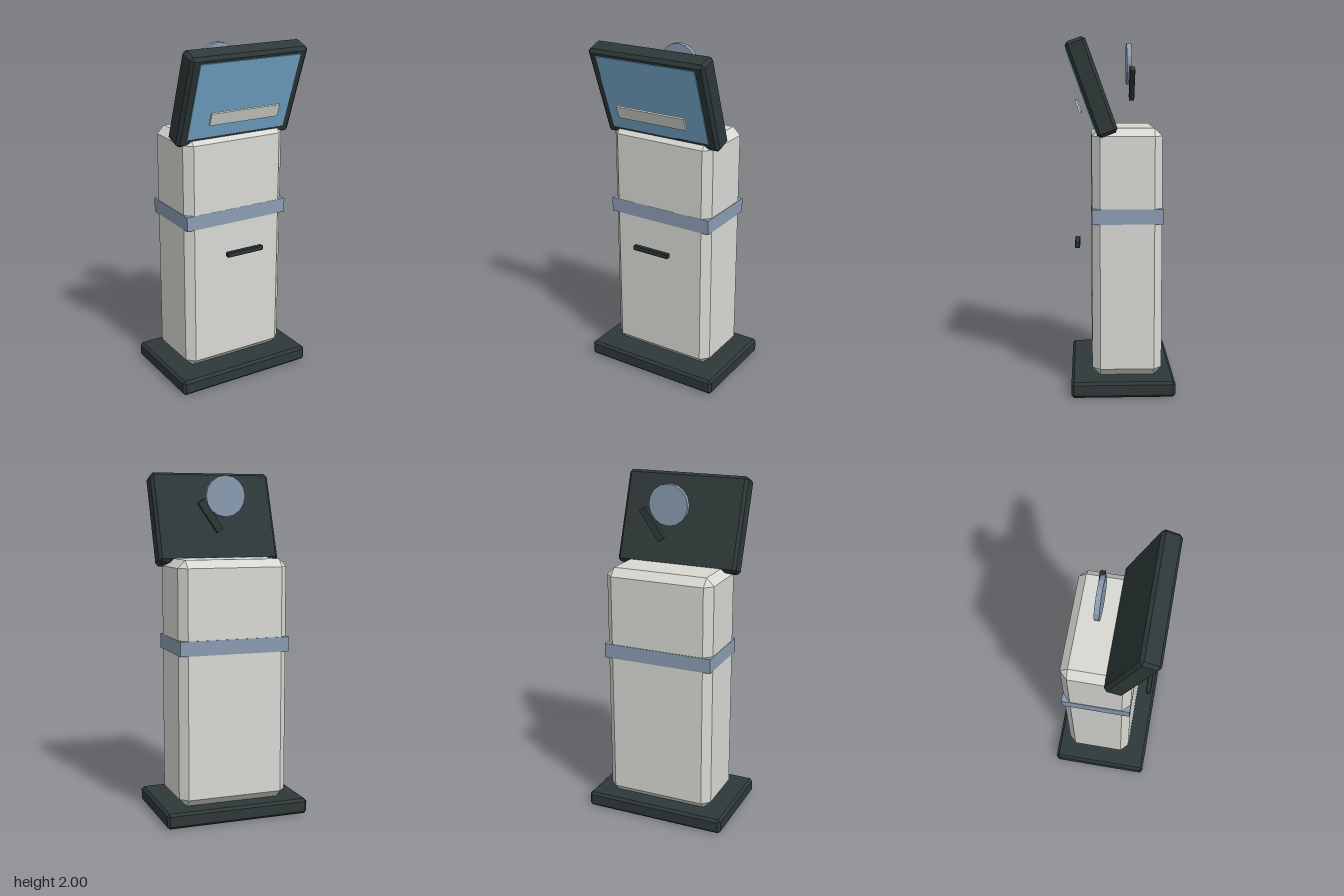
import * as THREE from 'three';
import { ConvexGeometry } from 'three/addons/geometries/ConvexGeometry.js';

const flat = (name, color) => {
  const m = new THREE.MeshStandardMaterial({ color });
  m.name = name;
  return m;
};

// Box with every edge cut by a flat chamfer c
function chamferBox(w, h, d, c) {
  const pts = [];
  for (const sx of [-1, 1]) for (const sy of [-1, 1]) for (const sz of [-1, 1]) {
    for (let face = 0; face < 3; face++) {
      const inset = [c, c, c];
      inset[face] = 0;
      pts.push(new THREE.Vector3(
        sx * (w / 2 - inset[0]), sy * (h / 2 - inset[1]), sz * (d / 2 - inset[2])));
    }
  }
  return new ConvexGeometry(pts);
}

export function createModel() {
  const shell = flat('shellGrey', 0xd9d9d4);
  const dark = flat('darkCasing', 0x2e3838);
  const trim = flat('blueGreyTrim', 0x8b9cb2);
  const glass = flat('screenBlue', 0x7ab0d8);

  const model = new THREE.Group();
  model.name = 'kiosk';
  const add = (name, geometry, material, x, y, z, parent = model) => {
    const mesh = new THREE.Mesh(geometry, material);
    mesh.name = name;
    mesh.position.set(x, y, z);
    parent.add(mesh);
    return mesh;
  };

  // Foot, cabinet and the band around it
  add('base', chamferBox(0.86, 0.09, 0.585, 0.015), dark, 0, 0.045, -0.0125);
  add('cabinet', chamferBox(0.655, 1.415, 0.395, 0.045), shell, 0, 0.7975, -0.0375);
  add('band', new THREE.BoxGeometry(0.66, 0.085, 0.4), trim, 0, 1.0125, -0.039);
  add('slot', chamferBox(0.24, 0.03, 0.03, 0.005), dark, 0, 0.815, 0.243);

  // Screen head, leaning forward at the top
  const head = new THREE.Group();
  head.name = 'screenHead';
  head.position.set(0, 1.7275, 0.161);
  head.rotation.x = 0.345;
  model.add(head);
  add('screenCasing', chamferBox(0.74, 0.55, 0.118, 0.018), dark, 0, 0, 0, head);
  add('screenGlass', new THREE.BoxGeometry(0.63, 0.464, 0.008), glass, 0, 0.01, 0.06, head);

  // Light bar held in front of the screen
  const bar = add('frontBar', new THREE.BoxGeometry(0.44, 0.075, 0.012), shell, 0, 1.62, 0.234);
  bar.rotation.x = 0.345;

  // Disc and slanted handle behind the screen
  const disc = new THREE.CylinderGeometry(0.118, 0.118, 0.028, 16).toNonIndexed();
  disc.rotateX(Math.PI / 2);
  disc.rotateZ(Math.PI / 2);
  disc.computeVertexNormals();
  add('rearDisc', disc, trim, 0, 1.86, -0.058);
  const handle = add('rearHandle', new THREE.BoxGeometry(0.043, 0.205, 0.03), dark, 0.095, 1.748, -0.073);
  handle.rotation.z = -0.61;

  return model;
}
